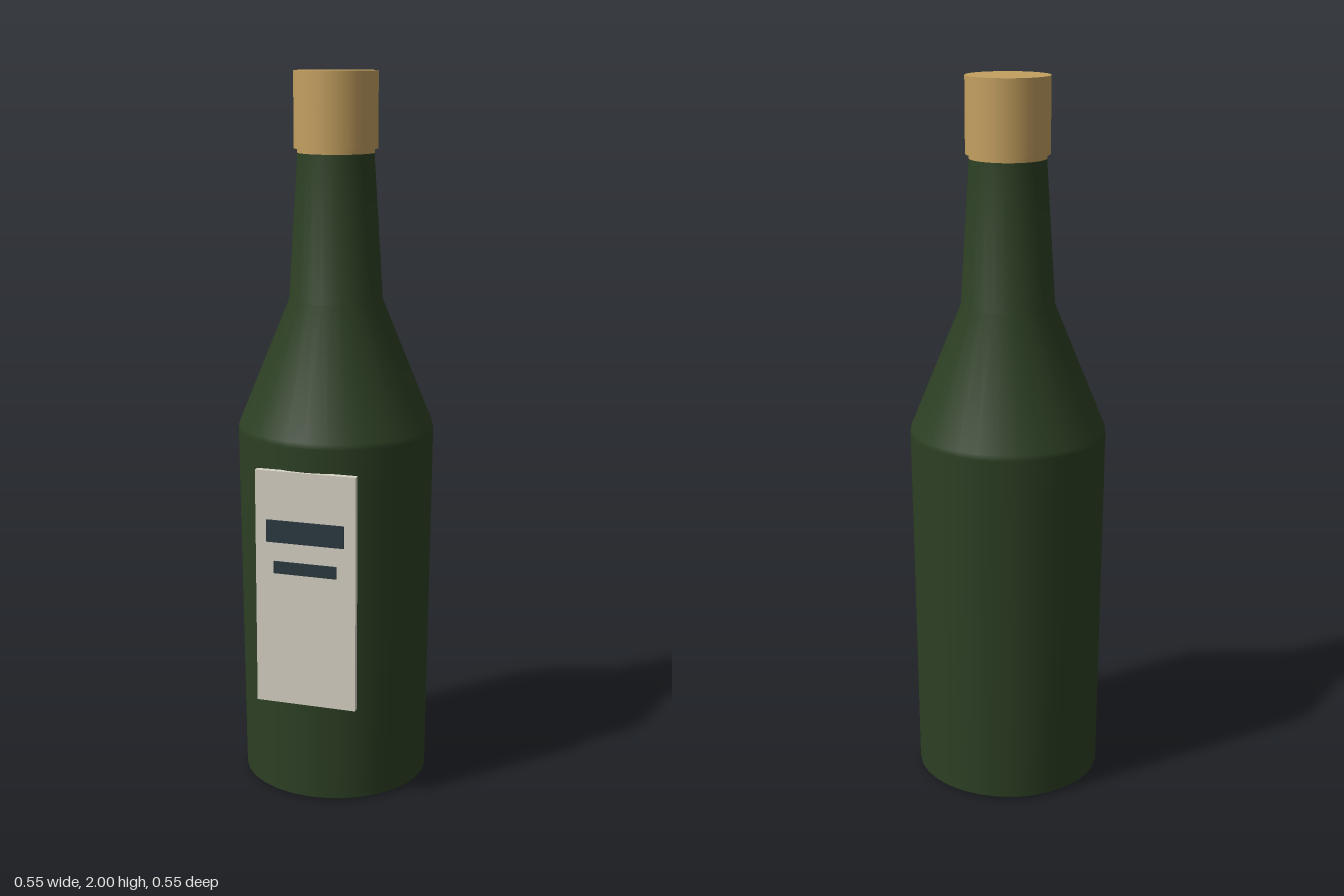
import * as THREE from 'three';

export function createModel() {
  const group = new THREE.Group();
  const material = (name, color) => {
    const m = new THREE.MeshStandardMaterial({ color });
    m.name = name;
    return m;
  };
  const glass = material('dark green glass', 0x2d4024);
  const gold = material('gold foil', 0xc4a060);
  const paper = material('label paper', 0xd8d3c6);
  const ink = material('label ink', 0x2b3a40);

  const add = (name, geometry, mat, x, y, z) => {
    const mesh = new THREE.Mesh(geometry, mat);
    mesh.name = name;
    mesh.position.set(x, y, z);
    group.add(mesh);
    return mesh;
  };
  // Round parts are very slightly flattened front to back
  const addRound = (name, geometry, mat, y) => {
    add(name, geometry, mat, 0, y, -0.006).scale.z = 0.98;
  };

  // Bottle: shallow hollow base, tapered body, shoulder and neck
  const profile = [
    [0, 0.02], [0.25, 0], [0.262, 0.008], [0.274, 1.02],
    [0.273, 1.035], [0.13, 1.385], [0.104, 1.8],
  ].map(([r, y]) => new THREE.Vector2(r, y));
  addRound('bottle', new THREE.LatheGeometry(profile, 32), glass, 0);

  // Cap with a narrow collar where it meets the neck
  addRound('cap', new THREE.CylinderGeometry(0.115, 0.115, 0.205, 32), gold, 1.8975);
  addRound('capCollar', new THREE.CylinderGeometry(0.106, 0.106, 0.012, 32), gold, 1.789);

  // Flat front label with two printed bars
  add('label', new THREE.BoxGeometry(0.284, 0.664, 0.018), paper, 0, 0.623, 0.26);
  for (const [name, w, h, y] of [
    ['upperLabelBar', 0.22, 0.062, 0.787],
    ['lowerLabelBar', 0.178, 0.034, 0.685],
  ]) {
    add(name, new THREE.BoxGeometry(w, h, 0.006), ink, 0, y, 0.271);
  }
  return group;
}
